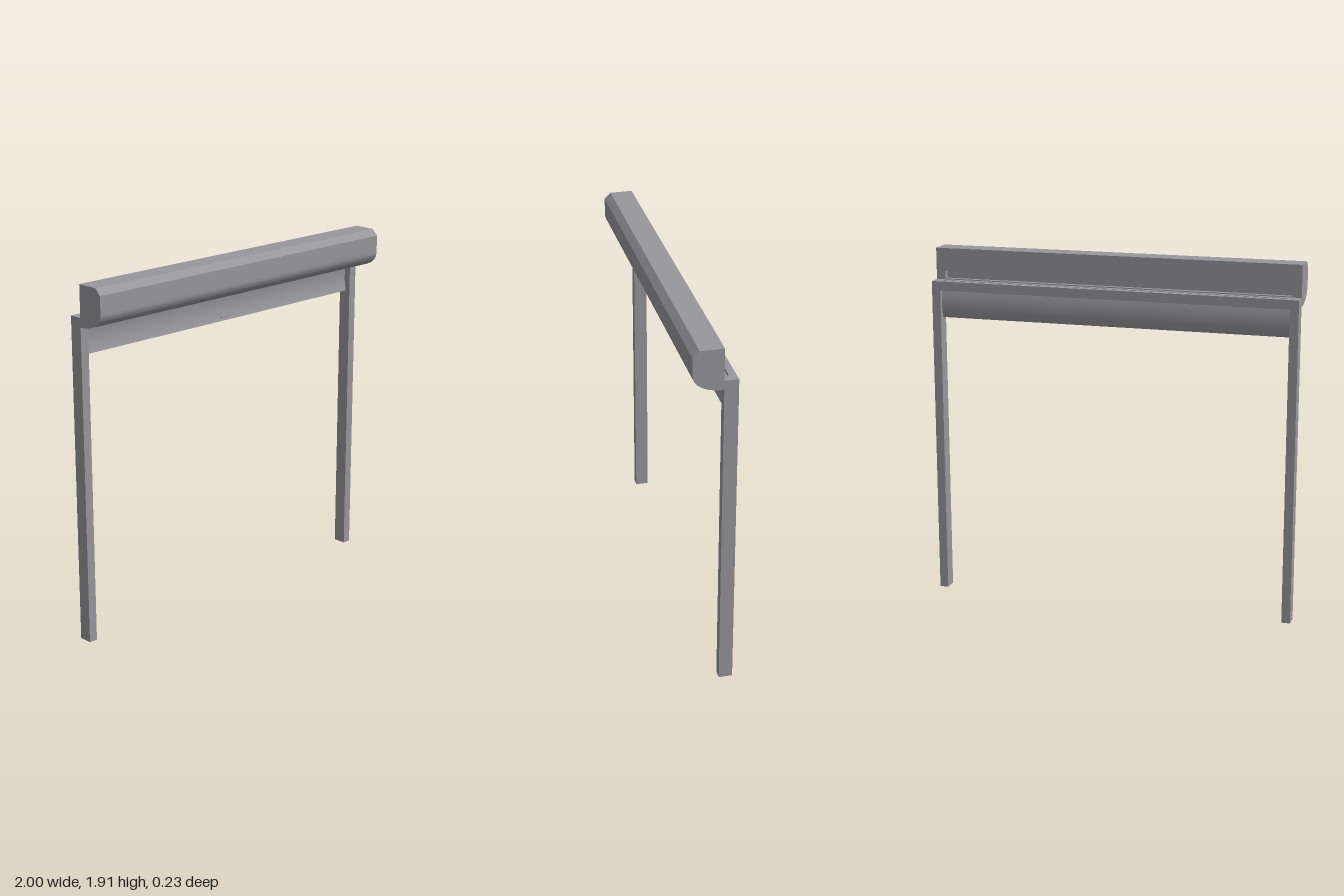
import * as THREE from 'three';
import { toCreasedNormals } from 'three/addons/utils/BufferGeometryUtils.js';

export function createModel() {
  const model = new THREE.Group();
  const grey = new THREE.MeshStandardMaterial({ color: 0x98979c });
  grey.name = 'greyMetal';

  const add = (name, geometry, x, y, z) => {
    const mesh = new THREE.Mesh(geometry, grey);
    mesh.name = name;
    mesh.position.set(x, y, z);
    model.add(mesh);
    return mesh;
  };
  const box = (name, w, h, d, x, y, z) => add(name, new THREE.BoxGeometry(w, h, d), x, y, z);

  // Extrude a (z, y) profile along x, centred on the given x
  const bar = (name, shape, length, x = 0) => {
    const geometry = new THREE.ExtrudeGeometry(shape, { depth: length, bevelEnabled: false, curveSegments: 16 });
    geometry.translate(0, 0, -length / 2);
    geometry.rotateY(-Math.PI / 2);
    return add(name, toCreasedNormals(geometry, 0.6), x, 0, 0);
  };

  // Roller housing: chamfered top, rounded belly, flat back with an optional slot
  const housingProfile = (slotted) => {
    const s = new THREE.Shape();
    s.moveTo(-0.043, 1.91);
    if (slotted) {
      s.lineTo(-0.043, 1.785);
      s.lineTo(-0.015, 1.785);
      s.lineTo(-0.015, 1.745);
      s.lineTo(-0.043, 1.745);
    }
    s.lineTo(-0.043, 1.693);
    s.lineTo(-0.02, 1.693);
    s.bezierCurveTo(0.06, 1.7, 0.112, 1.735, 0.112, 1.785);
    s.lineTo(0.112, 1.877);
    s.lineTo(0.078, 1.91);
    s.closePath();
    return s;
  };
  bar('housing', housingProfile(true), 1.9);
  for (const side of [-1, 1]) bar('housingEnd', housingProfile(false), 0.05, side * 0.975);

  // Guide posts
  for (const side of [-1, 1]) box('guidePost', 0.047, 1.69, 0.072, side * 0.9765, 0.845, -0.079);

  // Header rail, split by the narrow curtain slot
  box('headerFront', 1.9, 0.05, 0.027, 0, 1.715, -0.0565);
  box('headerBack', 1.9, 0.05, 0.037, 0, 1.715, -0.0965);
  for (const side of [-1, 1]) box('headerEnd', 0.05, 0.05, 0.072, side * 0.975, 1.715, -0.079);

  // Curtain: thin panel bowed to the back
  const curtain = new THREE.Shape();
  curtain.moveTo(-0.07, 1.54);
  curtain.quadraticCurveTo(-0.092, 1.615, -0.07, 1.7);
  curtain.lineTo(-0.082, 1.7);
  curtain.quadraticCurveTo(-0.106, 1.615, -0.082, 1.54);
  curtain.closePath();
  bar('curtain', curtain, 1.906);

  // Small pull grip near the bottom edge
  box('pullGrip', 0.05, 0.006, 0.012, 0, 1.56, -0.07);

  return model;
}
